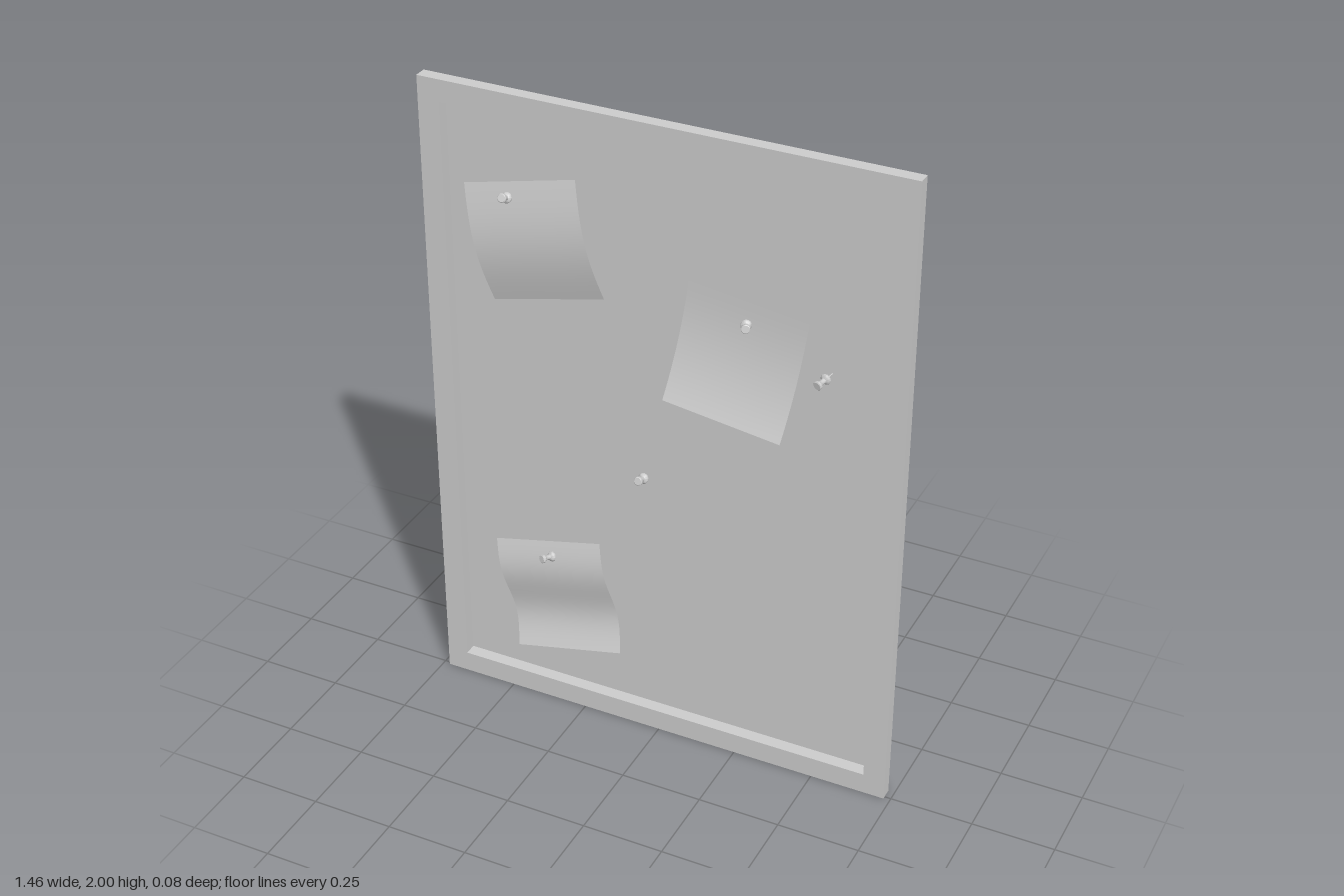
import * as THREE from 'three';
import { toCreasedNormals } from 'three/addons/utils/BufferGeometryUtils.js';

const material = new THREE.MeshStandardMaterial({ color: 0xcccccc, side: THREE.DoubleSide });
const FRONT = 0.009, BACK = -0.03;   // z of the frame face and of the board
const W = 1.46, H = 2, RIM = 0.066;

function add(parent, name, geometry) {
  const mesh = new THREE.Mesh(geometry, material);
  mesh.name = name;
  parent.add(mesh);
  return mesh;
}

// Four thin walls around a w x h rectangle; facing = 1 outward, -1 inward
function addWalls(parent, name, w, h, facing) {
  const depth = FRONT - BACK, z = (FRONT + BACK) / 2;
  for (const s of [-1, 1]) {
    const side = add(parent, name, new THREE.PlaneGeometry(depth, h));
    side.position.set(s * w / 2, H / 2, z);
    side.rotation.y = s * facing * Math.PI / 2;
    const level = add(parent, name, new THREE.PlaneGeometry(w, depth));
    level.position.set(0, H / 2 + s * h / 2, z);
    level.rotation.x = -s * facing * Math.PI / 2;
  }
}

function rectangle(PathType, w, h) {
  const x = w / 2, y = h / 2;
  return new PathType([[-x, -y], [x, -y], [x, y], [-x, y]].map(([a, b]) => new THREE.Vector2(a, b)));
}

// Curled sheet: lift(t, u) gives its height off the board, t = 0 to 1 from top to bottom, u = 0 to 1 across
function makeNote(size, lift) {
  const geometry = new THREE.PlaneGeometry(size, size, 4, 20);
  const { position, uv } = geometry.attributes;
  for (let i = 0; i < position.count; i++) {
    position.setZ(i, 0.002 + lift(1 - uv.getY(i), uv.getX(i)));
  }
  geometry.computeVertexNormals();
  return geometry;
}

// Push pin turned about y, with its needle tip at the origin
function makePin() {
  const profile = [
    [0, 0], [0.002, 0.006], [0.002, 0.034],
    [0.015, 0.034], [0.016, 0.038], [0.014, 0.042], [0.008, 0.046],
    [0.007, 0.056], [0.009, 0.064], [0.013, 0.068], [0.013, 0.074], [0.011, 0.076], [0, 0.076],
  ].map(([r, y]) => new THREE.Vector2(r, y));
  return toCreasedNormals(new THREE.LatheGeometry(profile, 14), 0.7);
}

export function createModel() {
  const model = new THREE.Group();
  model.name = 'noticeBoard';

  // Open-backed frame with a recessed board
  const frame = new THREE.Group();
  frame.name = 'frame';
  model.add(frame);
  const innerW = W - 2 * RIM, innerH = H - 2 * RIM;
  const face = rectangle(THREE.Shape, W, H);
  face.holes.push(rectangle(THREE.Path, innerW, innerH));
  add(frame, 'frameFace', new THREE.ShapeGeometry(face)).position.set(0, H / 2, FRONT);
  addWalls(frame, 'outerWall', W, H, 1);
  addWalls(frame, 'innerWall', innerW, innerH, -1);
  add(model, 'board', new THREE.PlaneGeometry(innerW, innerH)).position.set(0, H / 2, BACK);

  // Curled paper notes: centre x, centre y, tilt in degrees, curl
  const notes = [
    [-0.402, 1.553, 13.5, (t) => 0.03 * Math.sin(Math.PI * t)],
    [0.226, 1.341, -7.7, (t) => 0.065 * t ** 2.3],
    [-0.345, 0.376, 13.5, (t, u) => 0.018 * Math.sin(2 * Math.PI * t) + (0.035 + 0.004 * u) * t * t],
  ];
  for (const [x, y, tilt, lift] of notes) {
    const note = add(model, 'paperNote', makeNote(0.358, lift));
    note.position.set(x, y, BACK);
    note.rotation.z = THREE.MathUtils.degToRad(tilt);
  }

  // Push pins: tip x, tip y, head x, head y
  const pins = [
    [-0.473, 1.667, -0.466, 1.698],
    [0.241, 1.455, 0.27, 1.471],
    [0.5, 1.362, 0.481, 1.352],
    [-0.054, 0.873, -0.054, 0.895],
    [-0.346, 0.511, -0.378, 0.524],
  ];
  const pinGeometry = makePin();
  const up = new THREE.Vector3(0, 1, 0);
  for (const [tx, ty, hx, hy] of pins) {
    const pin = add(model, 'pushPin', pinGeometry);
    pin.position.set(tx, ty, -0.038);
    pin.quaternion.setFromUnitVectors(up, new THREE.Vector3(hx - tx, hy - ty, 0.072).normalize());
  }
  return model;
}
